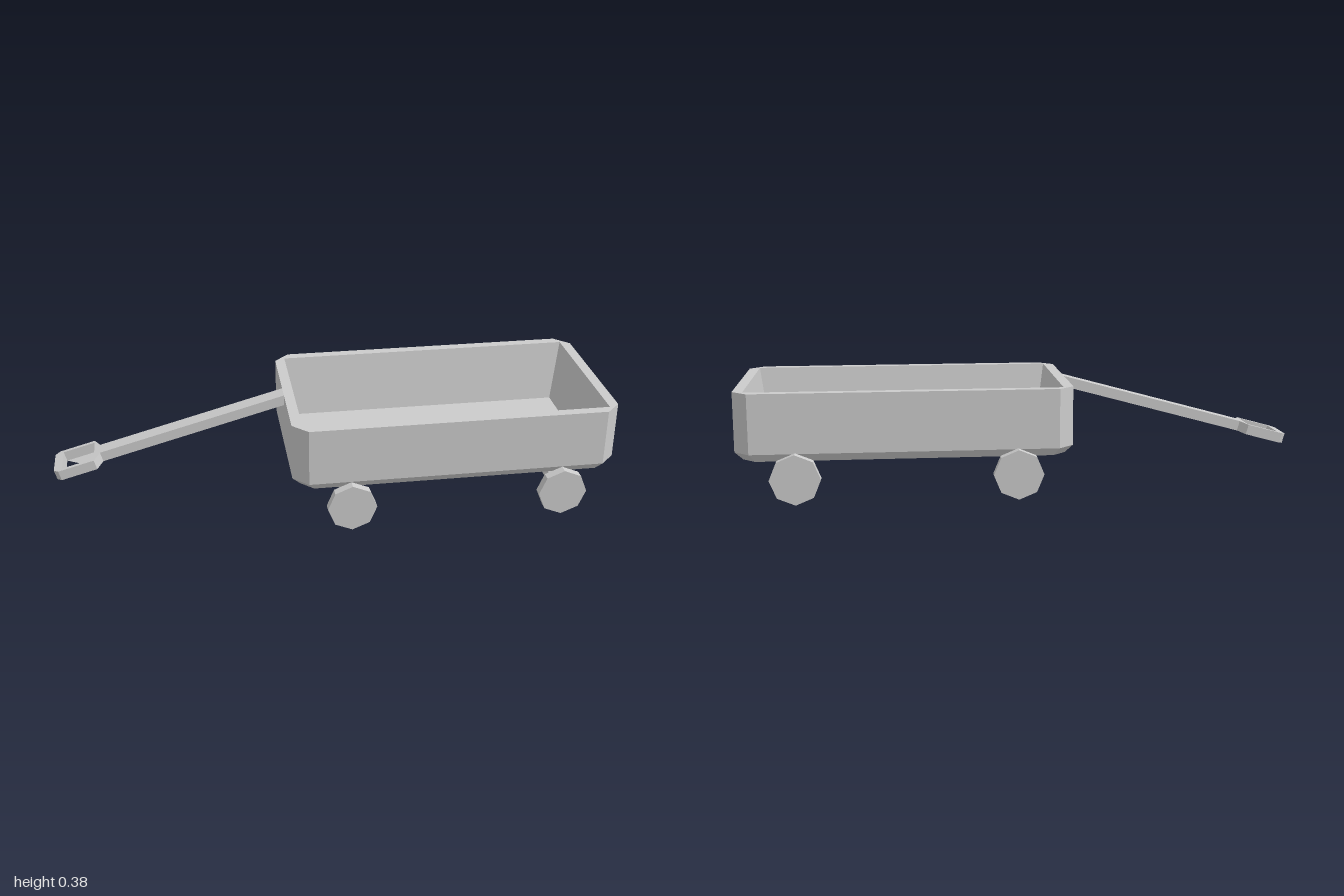
import * as THREE from 'three';

const material = new THREE.MeshStandardMaterial({ color: 0xcccccc, flatShading: true });
const sheetMaterial = new THREE.MeshStandardMaterial({ color: 0xcccccc, flatShading: true, side: THREE.DoubleSide });

function add(parent, name, geometry, mat = material) {
  const mesh = new THREE.Mesh(geometry, mat);
  mesh.name = name;
  parent.add(mesh);
  return mesh;
}

// Rectangle with cut corners, counter-clockwise in (x, -z)
function ring(hx, hz, cut, y) {
  const out = [];
  for (const [sx, sz, first] of [[1, -1, 0], [-1, -1, 1], [-1, 1, 0], [1, 1, 1]]) {
    const pair = [[hx, hz - cut], [hx - cut, hz]];
    if (first) pair.reverse();
    for (const [x, z] of pair) out.push([sx * x, y, sz * z]);
  }
  return out;
}

// Open tub: rings run from the underside, up the outside, over the rim, down to the floor
function tubGeometry() {
  const rings = [
    ring(0.555, 0.301, 0.045, 0.14),
    ring(0.5825, 0.321, 0.053, 0.168),
    ring(0.5825, 0.321, 0.053, 0.376),
    ring(0.546, 0.285, 0, 0.376),
    ring(0.514, 0.253, 0, 0.15),
  ];
  const n = 8, index = [];
  for (let r = 0; r < rings.length - 1; r++) {
    for (let i = 0; i < n; i++) {
      const a = r * n + i, b = r * n + (i + 1) % n;
      index.push(a, b, b + n, a, b + n, a + n);
    }
  }
  const top = (rings.length - 1) * n;
  for (let i = 1; i < n - 1; i++) {
    index.push(0, i + 1, i); // underside
    index.push(top, top + i, top + i + 1); // floor
  }
  const geometry = new THREE.BufferGeometry();
  geometry.setAttribute('position', new THREE.Float32BufferAttribute(rings.flat(2), 3));
  geometry.setIndex(index);
  geometry.computeVertexNormals();
  return geometry;
}

const points = (list) => list.map(([x, y]) => new THREE.Vector2(x, y));

// Sloping pull bar with a loop grip; local x runs up the bar from the tip
function createHandle() {
  const handle = new THREE.Group();
  handle.name = 'handle';
  const half = [[0, 0.058], [0.017, 0.075], [0.15, 0.075], [0.172, 0.03], [0.867, 0.03]];
  const mirrored = half.map(([x, y]) => [x, -y]).reverse();
  const outline = new THREE.Shape(points([...half, ...mirrored]));
  outline.holes.push(new THREE.Path(points([[0.031, -0.06], [0.15, -0.06], [0.15, 0.06], [0.031, 0.06]])));
  const bar = new THREE.ExtrudeGeometry(outline, { depth: 0.037, bevelEnabled: false });
  add(handle, 'pullBar', bar.rotateX(-Math.PI / 2));

  // Thin web closing half of the grip opening on its underside
  const web = new THREE.Shape(points([[0.031, 0.06], [0.15, 0.06], [0.15, -0.06]]));
  add(handle, 'gripWeb', new THREE.ShapeGeometry(web).rotateX(-Math.PI / 2), sheetMaterial);

  handle.position.set(-0.99, 0.112, 0);
  handle.rotation.z = 0.266;
  return handle;
}

export function createModel() {
  const model = new THREE.Group();
  model.name = 'wagon';

  add(model, 'tub', tubGeometry()).position.x = 0.4175;

  // Two axles, each with a pair of eight-sided wheels
  const axleGeometry = new THREE.CylinderGeometry(0.026, 0.026, 0.68, 8).rotateX(Math.PI / 2);
  const wheelGeometry = new THREE.CylinderGeometry(0.087, 0.087, 0.032, 8).rotateX(Math.PI / 2);
  for (const [end, x] of [['front', 0.034], ['rear', 0.792]]) {
    add(model, end + 'Axle', axleGeometry).position.set(x, 0.0875, 0);
    for (const side of [1, -1]) {
      add(model, end + 'Wheel', wheelGeometry).position.set(x, 0.0875, side * 0.35);
    }
  }

  model.add(createHandle());
  return model;
}
